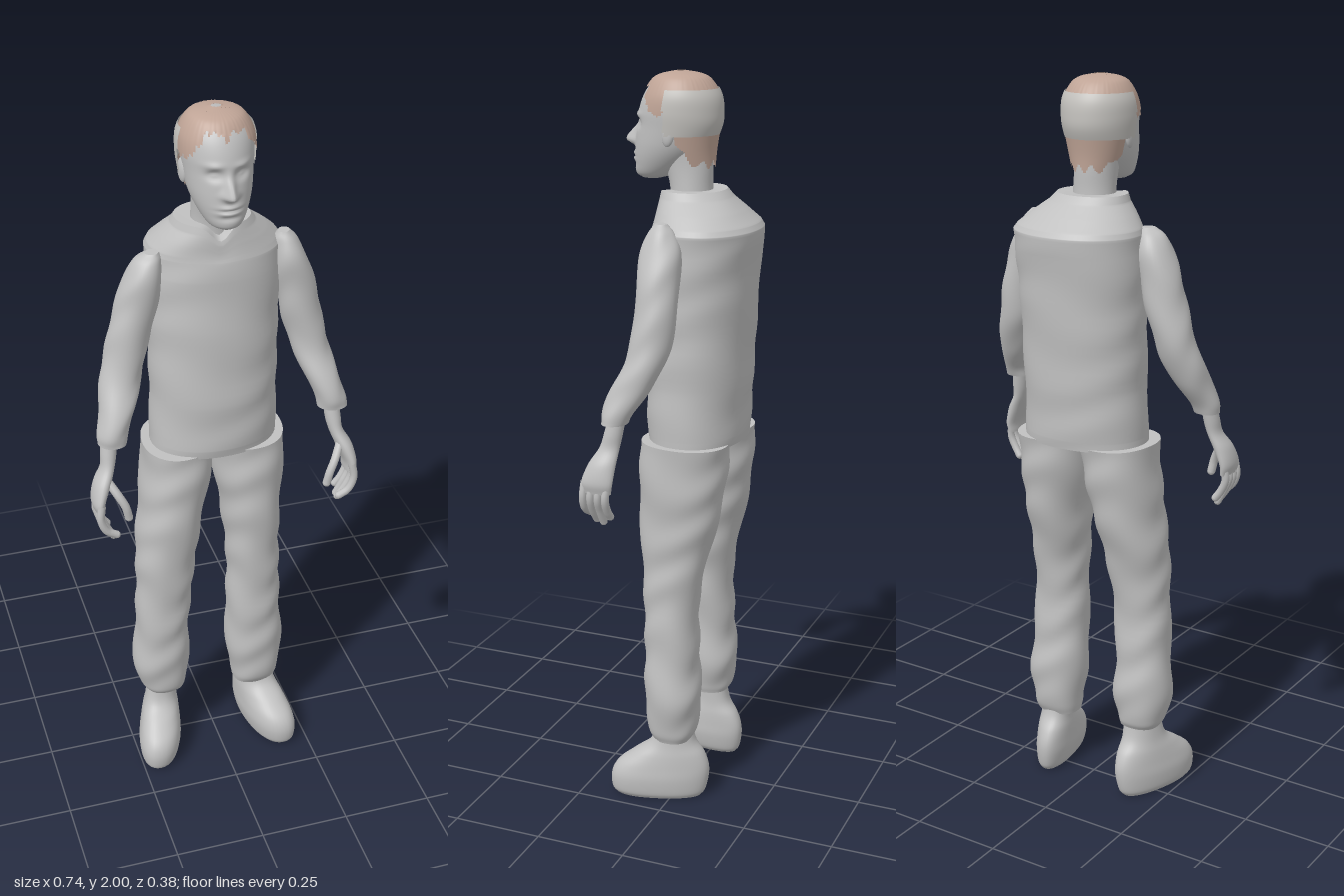
import * as THREE from 'three';

const grey = new THREE.MeshStandardMaterial({ color: 0xc0c0c0 });
grey.name = 'pale grey';
const brown = new THREE.MeshStandardMaterial({ color: 0xbfa496, side: THREE.DoubleSide });
brown.name = 'hair brown';
const shell = new THREE.MeshStandardMaterial({ color: 0xc4c2be, side: THREE.DoubleSide });
shell.name = 'light grey';

// Skin through horizontal oval rings [y, x0, x1, z0, z1], listed bottom to top.
// warp moves each point, keep selects faces (an open shell, without end caps).
function loft(rings, { seg = 32, steps = 6, pow = 1, warp, keep, linear } = {}) {
  const Interp = linear ? THREE.LinearInterpolant : THREE.CubicInterpolant;
  const f = new Interp(rings.map((_, i) => i), rings.flat(), 5);
  const rows = (rings.length - 1) * steps, pts = [], index = [];
  const power = v => Math.sign(v) * Math.abs(v) ** pow;
  for (let i = 0; i <= rows; i++) {
    const [y, x0, x1, z0, z1] = f.evaluate(i / steps);
    for (let j = 0; j < seg; j++) {
      const a = (j / seg) * Math.PI * 2;
      const p = new THREE.Vector3((x0 + x1) / 2 + power(Math.cos(a)) * (x1 - x0) / 2, y,
        (z0 + z1) / 2 + power(Math.sin(a)) * (z1 - z0) / 2);
      if (warp) warp(p, a);
      pts.push(p);
    }
  }
  for (let i = 0; i < rows; i++) for (let j = 0; j < seg; j++) {
    const a = i * seg + j, c = i * seg + (j + 1) % seg, b = a + seg, d = c + seg;
    const mid = pts[a].clone().add(pts[d]).multiplyScalar(0.5);
    if (!keep || keep(mid)) index.push(a, b, c, b, d, c);
  }
  if (!keep) for (const row of [0, rows]) {
    const ring = pts.slice(row * seg, row * seg + seg), start = pts.length;
    const centre = ring.reduce((s, p) => s.add(p), new THREE.Vector3()).divideScalar(seg);
    pts.push(...ring.map(p => p.clone()), centre);
    for (let j = 0; j < seg; j++) {
      const a = start + j, b = start + (j + 1) % seg;
      index.push(start + seg, ...(row ? [b, a] : [a, b]));
    }
  }
  const g = new THREE.BufferGeometry().setFromPoints(pts);
  g.setIndex(index);
  g.computeVertexNormals();
  return g;
}

function add(parent, name, geometry, material = grey) {
  const m = new THREE.Mesh(geometry, material);
  m.name = name;
  parent.add(m);
  return m;
}

// Soft cloth folds
const folds = amount => (p, a) => {
  const r = amount * Math.sin(p.y * 42 + 1.5 * Math.sin(a * 2 + p.y * 9));
  p.x += Math.cos(a) * r;
  p.z += Math.sin(a) * r;
};

// Rounded bump centred at 0 with width w
const bump = (v, w) => Math.exp(-((v / w) ** 2));

const headRings = (o = 0) => [
  [1.722, -0.022, 0.022, 0.09, 0.142], [1.735, -0.045, 0.045, 0.05, 0.158],
  [1.77, -0.066, 0.066, 0.0, 0.16], [1.81, -0.08, 0.08, -0.04, 0.157],
  [1.86, -0.087, 0.087, -0.064, 0.15], [1.9, -0.09, 0.09, -0.068, 0.145],
  [1.94, -0.086, 0.086, -0.062, 0.13], [1.97, -0.068, 0.068, -0.04, 0.108],
  [1.985, -0.047, 0.047, -0.015, 0.084], [1.994, -0.006, 0.006, 0.03, 0.042],
].map(([y, x0, x1, z0, z1]) => [y + o * (y > 1.96 ? 0.7 : 0), x0 - o, x1 + o, z0 - o, z1 + o * 0.3]);

// Nose, eye sockets, brow, lips and chin
function face(p) {
  if (p.z < 0.06) return;
  const { x, y } = p;
  const noseLen = y > 1.818 ? bump(y - 1.818, 0.034) : bump(y - 1.818, 0.012);
  p.z += 0.034 * bump(x, 0.011 + 0.006 * bump(y - 1.815, 0.015)) * noseLen;
  for (const s of [-1, 1]) {
    p.z -= 0.014 * bump(x - s * 0.034, 0.018) * bump(y - 1.864, 0.012);
    p.z += 0.006 * bump(x - s * 0.034, 0.011) * bump(y - 1.863, 0.006);
    p.z += 0.005 * bump(x - s * 0.036, 0.022) * bump(y - 1.888, 0.008);
  }
  p.z += 0.007 * bump(x, 0.024) * (bump(y - 1.786, 0.006) + bump(y - 1.771, 0.006));
  p.z -= 0.005 * bump(x, 0.028) * (bump(y - 1.7785, 0.003) + bump(y - 1.758, 0.007));
}

function buildHead() {
  const head = new THREE.Group();
  head.name = 'head';
  add(head, 'face', loft(headRings(), { seg: 112, steps: 10, warp: face }));
  add(head, 'neck', loft([
    [1.62, -0.065, 0.065, -0.06, 0.06], [1.7, -0.056, 0.058, -0.052, 0.06],
    [1.76, -0.056, 0.056, -0.052, 0.075], [1.82, -0.06, 0.06, -0.05, 0.09]]));
  for (const s of [-1, 1]) {
    const ear = add(head, 'ear', new THREE.SphereGeometry(1, 16, 12));
    ear.scale.set(0.01, 0.032, 0.018);
    ear.position.set(s * 0.085, 1.845, 0.035);
    ear.rotation.set(-0.15, s * -0.25, 0);
  }
  // Hair on the crown with a widow's peak and sideburns
  add(head, 'crownHair', loft(headRings(0.007), {
    seg: 96, steps: 10,
    warp: (p, a) => { p.z += 0.0015 * Math.sin(a * 40); },
    keep: ({ x, y, z }) => {
      const jag = 0.006 * Math.sin(x * 260 + z * 190);
      const line = z > 0.09 ? 1.962 - 0.018 * bump(x, 0.012) - 0.03 * Math.max(0, Math.abs(x) - 0.045) / 0.02
        : z > 0.035 ? 1.895 : 1.94;
      return y > line + jag;
    },
  }), brown);
  // Smooth band round the back of the head
  add(head, 'backBand', loft(headRings(0.011), {
    seg: 96, steps: 10, keep: ({ y, z }) => z < 0.045 && y > 1.842 && y < 1.958,
  }), shell);
  // Hair on the nape with a ragged hem
  add(head, 'napeHair', loft([
    [1.752, -0.062, 0.062, -0.058, 0.09], [1.8, -0.074, 0.074, -0.061, 0.09],
    [1.86, -0.088, 0.088, -0.07, 0.1]], {
    seg: 96, steps: 14,
    keep: ({ x, y, z }) => z < 0.02 && y > 1.765 + 0.011 * Math.sin(x * 190) + Math.max(0, z + 0.03) * 0.9,
  }), brown);
  return head;
}

// Finger: tapered by a round tip on a bent tube
function finger(hand, name, points, r) {
  const path = new THREE.CatmullRomCurve3(points.map(p => new THREE.Vector3(...p)));
  add(hand, name, new THREE.TubeGeometry(path, 10, r, 10));
  add(hand, name + 'Tip', new THREE.SphereGeometry(r, 10, 8)).position.set(...points.at(-1));
}

function buildHand(s) {
  const hand = new THREE.Group();
  hand.name = s > 0 ? 'leftHand' : 'rightHand';
  const span = (y, a, b, z0, z1) => s > 0 ? [y, a, b, z0, z1] : [y, -b, -a, z0, z1];
  add(hand, 'palm', loft([
    span(0.955, 0.335, 0.362, 0.088, 0.168), span(0.985, 0.332, 0.368, 0.083, 0.17),
    span(1.03, 0.313, 0.358, 0.08, 0.155), span(1.07, 0.298, 0.336, 0.077, 0.132),
    span(1.11, 0.289, 0.332, 0.07, 0.12), span(1.17, 0.285, 0.325, 0.06, 0.105)], { seg: 24 }));
  const tips = [0.888, 0.872, 0.868, 0.885];
  tips.forEach((tip, i) => {
    const z = 0.162 - i * 0.021;
    finger(hand, 'finger', [[s * 0.348, 0.985, z], [s * 0.353, 0.94, z + 0.004],
      [s * 0.338, 0.905, z + 0.005], [s * (0.312 + 0.004 * i), tip, z + 0.003]], 0.0105);
  });
  finger(hand, 'thumb', [[s * 0.322, 1.035, 0.13], [s * 0.3, 1.0, 0.155],
    [s * 0.285, 0.97, 0.163], [s * 0.277, 0.935, 0.162]], 0.0115);
  return hand;
}

export function createModel() {
  const model = new THREE.Group();
  model.name = 'standingMan';

  // Shirt body with wide sloping shoulders and a dipped collar
  const cloth = folds(0.0018);
  add(model, 'shirt', loft([
    [1.035, -0.168, 0.183, -0.15, 0.105], [1.06, -0.166, 0.182, -0.152, 0.108],
    [1.2, -0.162, 0.181, -0.16, 0.11], [1.4, -0.163, 0.185, -0.171, 0.103],
    [1.55, -0.165, 0.193, -0.182, 0.094], [1.605, -0.163, 0.196, -0.189, 0.09],
    [1.62, -0.156, 0.184, -0.18, 0.088], [1.65, -0.13, 0.15, -0.145, 0.085],
    [1.68, -0.103, 0.113, -0.106, 0.081], [1.7, -0.095, 0.098, -0.086, 0.077]], {
    seg: 64, steps: 8, linear: true, pow: 0.93,
    warp: (p, a) => {
      cloth(p, a);
      if (p.z > 0) p.y -= 0.04 * bump(p.x, 0.03) * Math.max(0, (p.y - 1.6) / 0.1);
    },
  }));

  model.add(buildHead());

  // Sleeves, bent forward at the elbow
  const sleeves = {
    rightSleeve: [
      [1.128, -0.334, -0.262, 0.055, 0.126], [1.16, -0.336, -0.252, 0.04, 0.126],
      [1.22, -0.322, -0.225, 0.002, 0.106], [1.29, -0.308, -0.198, -0.032, 0.076],
      [1.36, -0.29, -0.18, -0.044, 0.064], [1.46, -0.265, -0.152, -0.05, 0.062],
      [1.55, -0.236, -0.137, -0.046, 0.06], [1.6, -0.21, -0.135, -0.03, 0.048],
      [1.622, -0.178, -0.142, -0.008, 0.03]],
    leftSleeve: [
      [1.138, 0.27, 0.35, 0.055, 0.126], [1.17, 0.262, 0.347, 0.04, 0.126],
      [1.23, 0.238, 0.33, 0.002, 0.106], [1.3, 0.212, 0.315, -0.032, 0.076],
      [1.37, 0.193, 0.3, -0.044, 0.064], [1.47, 0.172, 0.28, -0.05, 0.062],
      [1.56, 0.158, 0.25, -0.046, 0.06], [1.61, 0.16, 0.226, -0.028, 0.046],
      [1.636, 0.172, 0.202, -0.006, 0.03]],
  };
  for (const [name, rings] of Object.entries(sleeves))
    add(model, name, loft(rings, { warp: folds(0.002) }));
  model.add(buildHand(1), buildHand(-1));

  // Trouser legs
  const legs = {
    rightTrouserLeg: [
      [0.205, -0.212, -0.094, -0.045, 0.062], [0.23, -0.226, -0.086, -0.056, 0.075],
      [0.3, -0.24, -0.076, -0.068, 0.086], [0.42, -0.233, -0.08, -0.06, 0.088],
      [0.6, -0.226, -0.066, -0.06, 0.092], [0.72, -0.222, -0.05, -0.086, 0.1],
      [0.85, -0.206, -0.028, -0.118, 0.106], [0.95, -0.196, -0.008, -0.132, 0.106],
      [1.042, -0.192, 0.004, -0.14, 0.103]],
    leftTrouserLeg: [
      [0.175, 0.064, 0.182, -0.045, 0.062], [0.21, 0.056, 0.196, -0.056, 0.075],
      [0.3, 0.043, 0.208, -0.068, 0.086], [0.42, 0.04, 0.198, -0.06, 0.088],
      [0.6, 0.042, 0.19, -0.06, 0.092], [0.72, 0.036, 0.188, -0.086, 0.1],
      [0.85, 0.022, 0.194, -0.118, 0.106], [0.95, 0.006, 0.2, -0.132, 0.106],
      [1.042, -0.002, 0.203, -0.14, 0.103]],
  };
  for (const [name, rings] of Object.entries(legs))
    add(model, name, loft(rings, { seg: 40, steps: 8, pow: 0.92, warp: folds(0.0028) }));

  // Shoes, toes turned out and broader than the heel
  for (const [s, cx] of [[-1, -0.172], [1, 0.142]])
    add(model, s > 0 ? 'leftShoe' : 'rightShoe', loft([
      [0.003, -0.046, 0.046, -0.072, 0.16], [0.02, -0.056, 0.056, -0.084, 0.172],
      [0.06, -0.062, 0.062, -0.092, 0.174], [0.095, -0.06, 0.06, -0.091, 0.158],
      [0.13, -0.056, 0.056, -0.078, 0.115], [0.17, -0.049, 0.049, -0.052, 0.066],
      [0.24, -0.045, 0.045, -0.04, 0.05]], {
      seg: 40, pow: 0.9,
      warp: p => {
        p.x *= 1 + 1.2 * (p.z - 0.04);
        p.x += cx + s * (0.22 * (p.z - 0.04) + 0.06 * (0.12 - p.y)) ;
      },
    }));

  return model;
}
